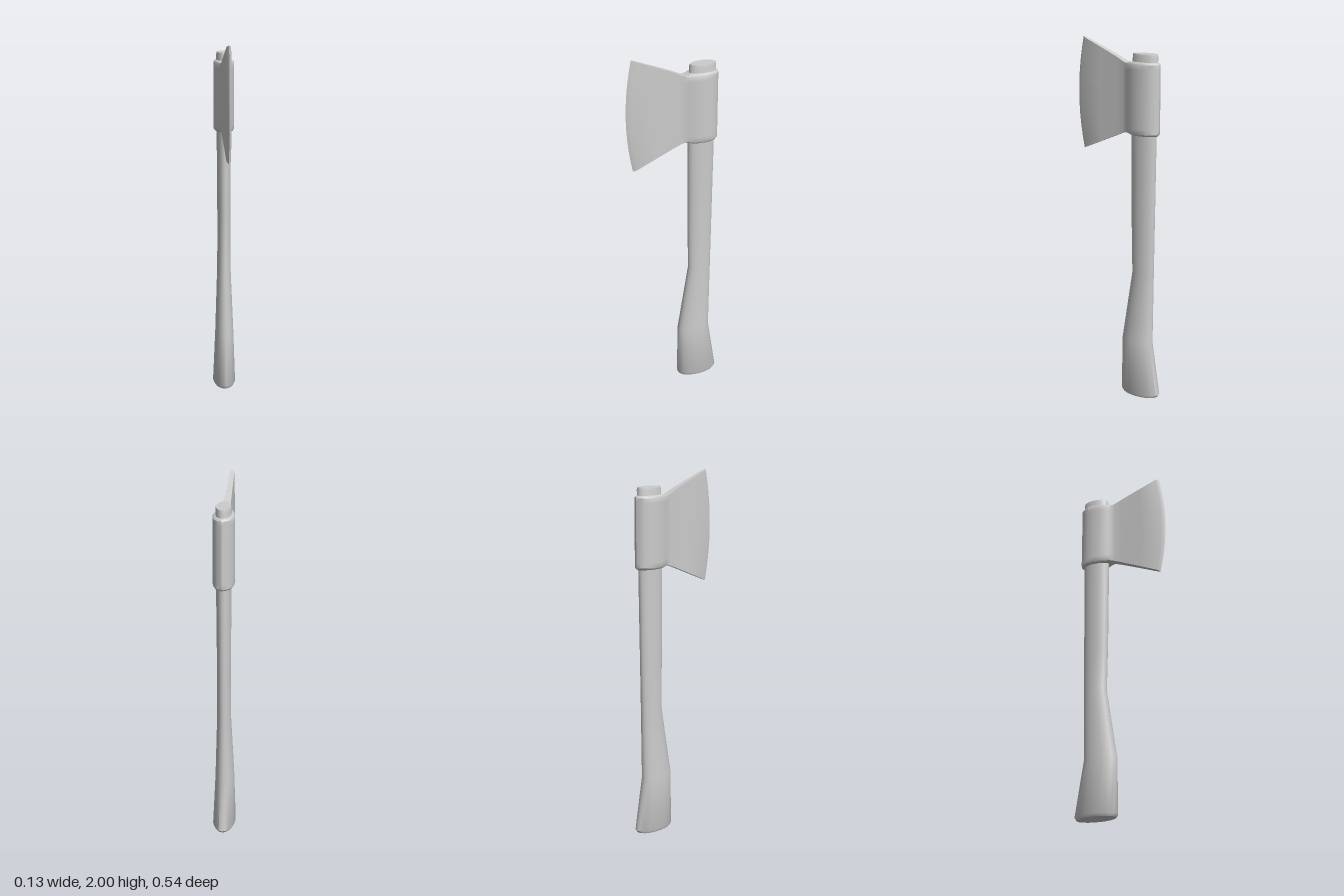
import * as THREE from 'three';
import { toCreasedNormals } from 'three/addons/utils/BufferGeometryUtils.js';

// Skins stacked closed rings (counter-clockwise from above, symmetric in x) and caps both ends.
function loft(rings, crease) {
  const n = rings[0].length;
  const index = [];
  const at = (r, i) => r * n + (i % n);
  for (let r = 0; r < rings.length - 1; r++) {
    for (let i = 0; i < n; i++) {
      index.push(at(r, i), at(r, i + 1), at(r + 1, i + 1), at(r, i), at(r + 1, i + 1), at(r + 1, i));
    }
  }
  // Caps are strips joining each point to its mirror image
  const top = rings.length - 1;
  const cap = (a, b, c) => {
    if (a % n === b % n || b % n === c % n || a % n === c % n) return;
    index.push(at(top, a), at(top, b), at(top, c), at(0, a), at(0, c), at(0, b));
  };
  for (let i = 0; i < n / 2; i++) {
    cap(i, i + 1, n - i - 1);
    cap(i, n - i - 1, n - i);
  }
  const geometry = new THREE.BufferGeometry();
  geometry.setAttribute('position', new THREE.Float32BufferAttribute(rings.flat(2), 3));
  geometry.setIndex(index);
  return toCreasedNormals(geometry, crease);
}

// Handle: oval sections as [y, front z, back z, half width]
function handleGeometry() {
  const sections = [
    [0, -0.036, -0.26, 0.057],
    [0.015, -0.027, -0.27, 0.065],
    [0.32, -0.03, -0.222, 0.053],
    [0.72, -0.094, -0.228, 0.038],
    [1.0, -0.088, -0.232, 0.037],
    [1.5, -0.085, -0.238, 0.04],
    [1.92, -0.092, -0.243, 0.041],
    [1.932, -0.096, -0.24, 0.038],
  ];
  const sides = 20;
  const rings = sections.map(([y, front, back, half]) =>
    Array.from({ length: sides }, (_, i) => {
      const a = (i / sides) * Math.PI * 2;
      return [Math.sin(a) * half, y, (front + back) / 2 + (Math.cos(a) * (front - back)) / 2];
    }));
  return loft(rings, 0.7);
}

// Head: half outline from cutting edge to poll as [z, half width, bottom y, top y]
function headGeometry() {
  const outline = [
    [0.235, 0, 1.385, 2.0],
    [0.216, 0.012, 1.393, 1.992],
    [0.11, 0.0155, 1.439, 1.95],
    [0, 0.019, 1.486, 1.905],
    [-0.04, 0.0215, 1.502, 1.885],
    [-0.055, 0.025, 1.507, 1.88],
    [-0.075, 0.034, 1.506, 1.882],
    [-0.1, 0.046, 1.5, 1.889],
    [-0.13, 0.054, 1.499, 1.89],
    [-0.165, 0.057, 1.499, 1.89],
    [-0.2, 0.053, 1.499, 1.89],
    [-0.23, 0.04, 1.499, 1.89],
    [-0.248, 0.023, 1.499, 1.89],
    [-0.256, 0, 1.499, 1.89],
  ];
  // Levels as [height fraction, inset of the rounded socket rim]
  const levels = [[0, 0.012], [0.009, 0.005], [0.03, 0]];
  for (let i = 1; i < 10; i++) levels.push([i / 10, 0]);
  levels.push([0.97, 0], [0.991, 0.005], [1, 0.012]);

  const rings = levels.map(([v, inset]) => {
    const side = outline.map(([z, half, bottom, top]) => {
      const socket = THREE.MathUtils.clamp((-0.055 - z) / 0.04, 0, 1);
      const bow = 0.035 * (1 - (2 * v - 1) ** 2) * Math.max(0, z / 0.235);
      const poll = Math.max(0, (-0.165 - z) / 0.09) * inset;
      return [half - Math.min(inset * socket, half * 0.4), THREE.MathUtils.lerp(bottom, top, v), z + bow + poll];
    });
    const mirrored = side.slice(1, -1).reverse().map(([x, y, z]) => [-x, y, z]);
    return [...side, ...mirrored];
  });
  return loft(rings, 0.6);
}

export function createModel() {
  const group = new THREE.Group();
  group.name = 'axe';
  const material = new THREE.MeshStandardMaterial({ color: 0xcccccc });
  const add = (name, geometry) => {
    const mesh = new THREE.Mesh(geometry, material);
    mesh.name = name;
    group.add(mesh);
  };
  add('handle', handleGeometry());
  add('axeHead', headGeometry());
  return group;
}
